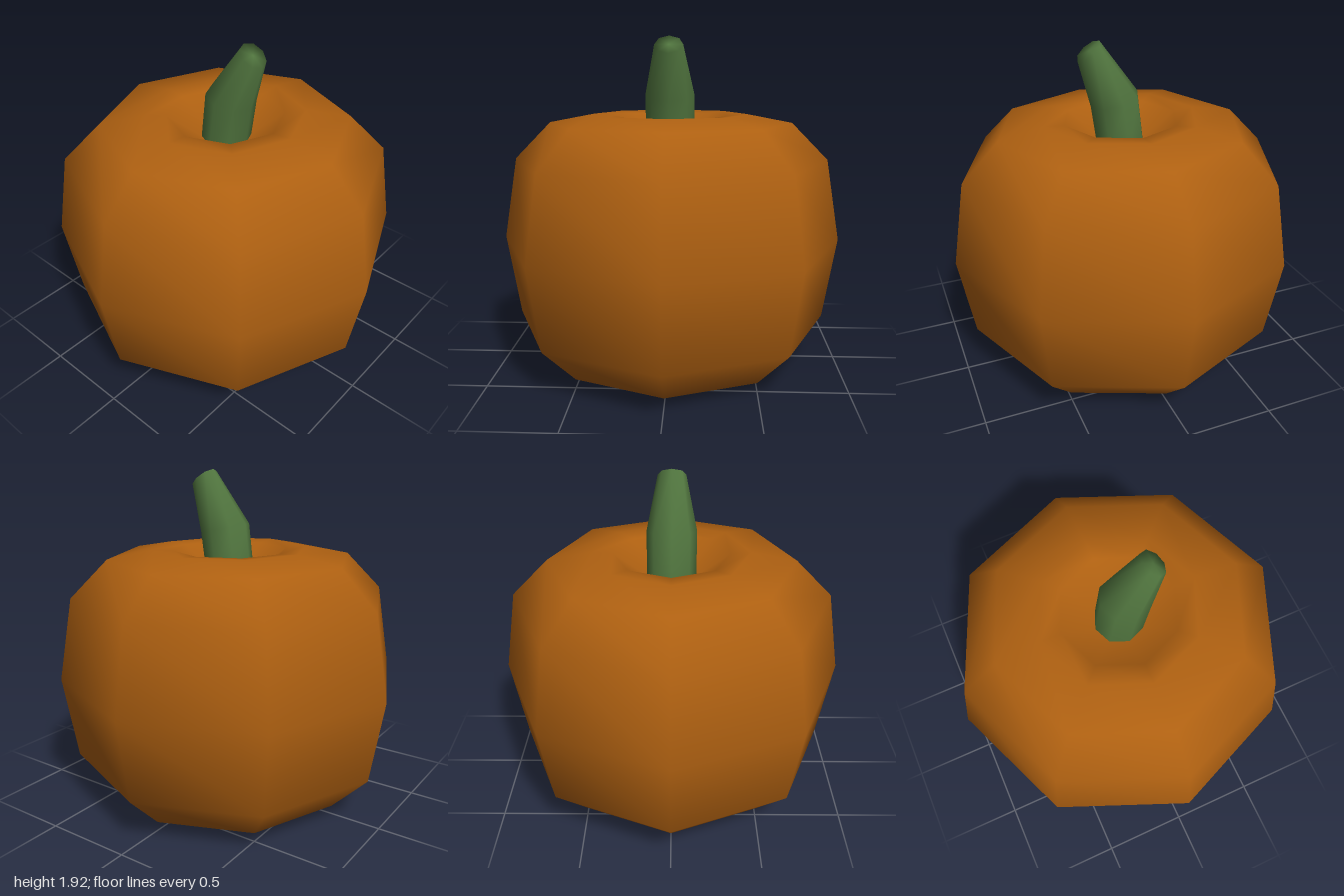
import * as THREE from 'three';
import { mergeVertices } from 'three/addons/utils/BufferGeometryUtils.js';

const SIDES = 8;

// Weld the seam and poles so that shading is smooth all over.
function smooth(geometry) {
  geometry.deleteAttribute('uv');
  geometry.deleteAttribute('normal');
  const welded = mergeVertices(geometry, 1e-4);
  welded.computeVertexNormals();
  return welded;
}

// Squat eight-sided body with a dimple at both ends; the profile is mirrored about mid height.
function bodyGeometry() {
  const mid = 0.743;
  const half = [[0.92, 0.477], [0.708, 0.692], [0.447, 0.742], [0.33, 0.732], [0, 0.5]];
  const profile = [
    ...half.slice().reverse().map(([r, h]) => new THREE.Vector2(r, mid - h)),
    new THREE.Vector2(1, mid),
    ...half.map(([r, h]) => new THREE.Vector2(r, mid + h)),
  ];
  return smooth(new THREE.LatheGeometry(profile, SIDES));
}

// Bent, tapering stem: rings given by centre, radius and lean toward +x.
function stemGeometry() {
  const rings = [
    { x: 0, y: 1.32, r: 0.14, lean: 0 },
    { x: 0.037, y: 1.595, r: 0.142, lean: 0.22 },
    { x: 0.183, y: 1.875, r: 0.08, lean: 0.67 },
  ];
  const positions = [];
  const index = [];
  rings.forEach(({ x, y, r, lean }, j) => {
    for (let i = 0; i < SIDES; i++) {
      const a = (i / SIDES) * Math.PI * 2;
      const u = Math.cos(a) * r;
      positions.push(x + u * Math.cos(lean), y - u * Math.sin(lean), Math.sin(a) * r);
      if (j === 0) continue;
      const next = (i + 1) % SIDES;
      const low = (j - 1) * SIDES;
      const high = j * SIDES;
      index.push(low + i, high + i, low + next, low + next, high + i, high + next);
    }
  });

  // Cut end
  const tip = rings[rings.length - 1];
  const first = (rings.length - 1) * SIDES;
  const centre = positions.length / 3;
  positions.push(tip.x, tip.y, 0);
  for (let i = 0; i < SIDES; i++) index.push(centre, first + ((i + 1) % SIDES), first + i);

  const geometry = new THREE.BufferGeometry();
  geometry.setAttribute('position', new THREE.Float32BufferAttribute(positions, 3));
  geometry.setIndex(index);
  geometry.computeVertexNormals();
  return geometry;
}

export function createModel() {
  const orange = new THREE.MeshStandardMaterial({ color: 0xae6011 });
  orange.name = 'orange skin';
  const green = new THREE.MeshStandardMaterial({ color: 0x50743e });
  green.name = 'stem green';

  const body = new THREE.Mesh(bodyGeometry(), orange);
  body.name = 'body';
  const stem = new THREE.Mesh(stemGeometry(), green);
  stem.name = 'stem';

  const model = new THREE.Group();
  model.name = 'pumpkin';
  model.add(body, stem);
  return model;
}
